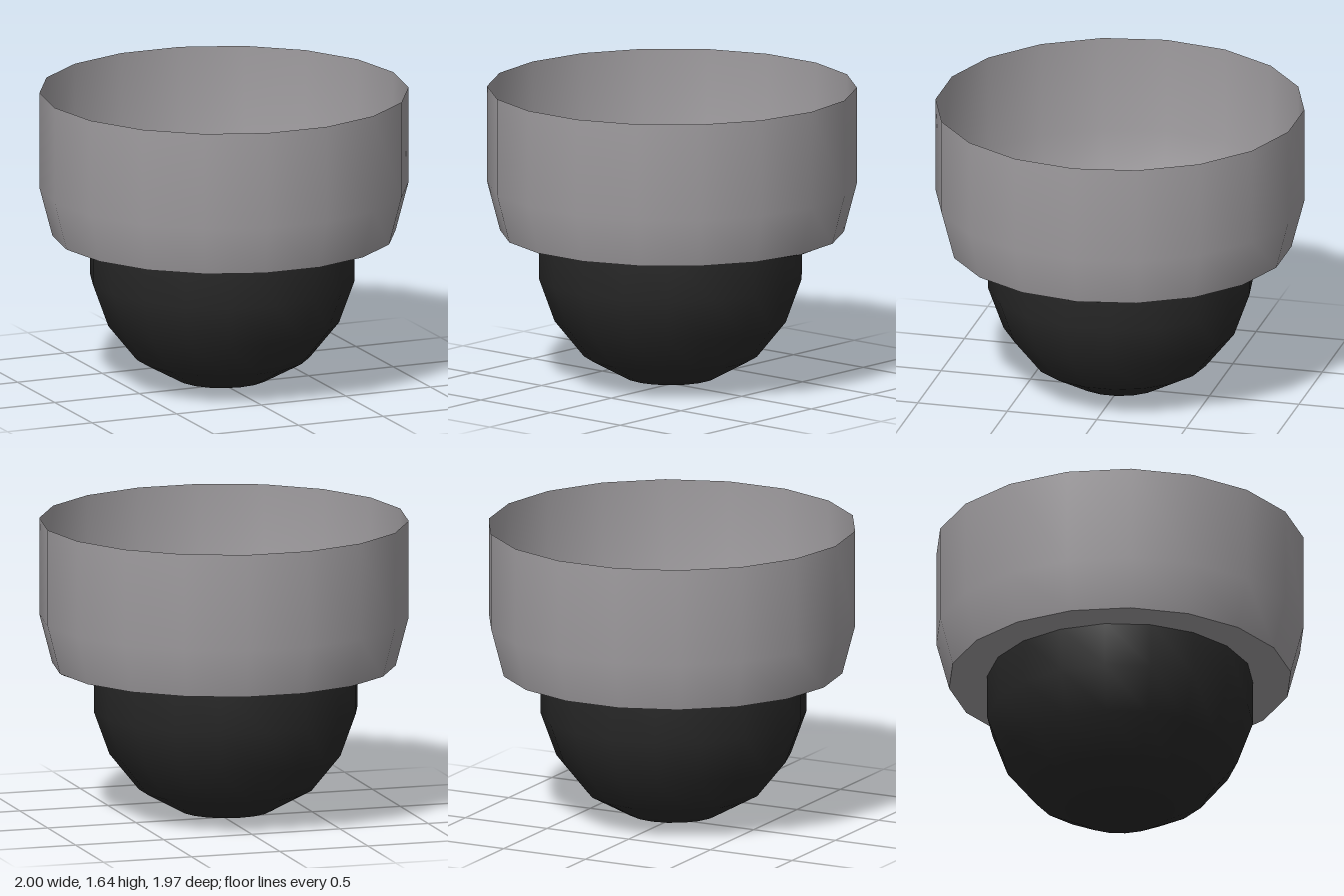
import * as THREE from 'three';

const SIDES = 18;
const FLOOR_Y = 0.845;

const lathe = (profile, start) => new THREE.LatheGeometry(
  profile.map(([r, y]) => new THREE.Vector2(r, y)), SIDES, start, Math.PI * 2);

export function createModel() {
  const group = new THREE.Group();
  const grey = new THREE.MeshStandardMaterial({ color: 0xa09da0, side: THREE.DoubleSide });
  grey.name = 'housing grey';
  const black = new THREE.MeshStandardMaterial({ color: 0x282828, side: THREE.DoubleSide });
  black.name = 'dome black';

  const add = (name, geometry, material) => {
    const mesh = new THREE.Mesh(geometry, material);
    mesh.name = name;
    group.add(mesh);
    return mesh;
  };

  // Open-topped housing with a tapered lower band
  add('housing', lathe([[0.93, FLOOR_Y], [1, 1.112], [1, 1.642]], Math.PI / 2), grey);

  // Flat plate closing the housing above the dome
  const plate = new THREE.CircleGeometry(0.93, SIDES);
  plate.rotateX(-Math.PI / 2);
  add('mountingPlate', plate, grey).position.y = FLOOR_Y;

  // Rounded dome, its open rim just piercing the plate
  const dome = lathe([
    [0, 0], [0.25, 0.043], [0.475, 0.166], [0.635, 0.365], [0.72, 0.6], [0.72, FLOOR_Y + 0.008],
  ], 0);
  add('dome', dome, black).position.x = -0.01;

  // Small dark tab at the edge of the plate
  const tabShape = new THREE.Shape([
    new THREE.Vector2(0.9, -0.12), new THREE.Vector2(0.924, 0), new THREE.Vector2(0.9, 0.12),
  ]);
  const tab = new THREE.ExtrudeGeometry(tabShape, { depth: 0.008, bevelEnabled: false });
  tab.rotateX(-Math.PI / 2);
  add('edgeTab', tab, black).position.y = FLOOR_Y - 0.004;

  return group;
}
